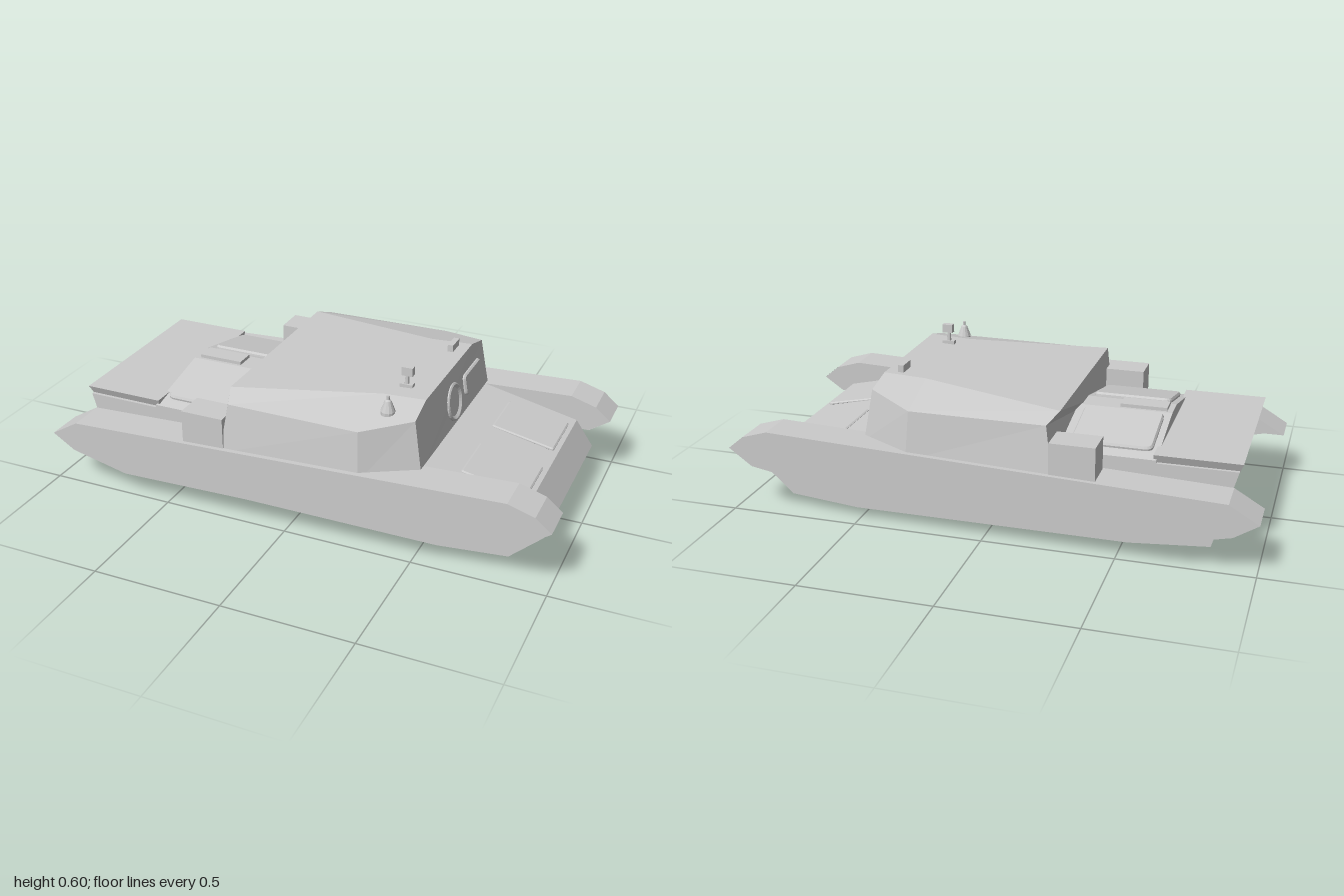
import * as THREE from 'three';

const mat = new THREE.MeshStandardMaterial({ color: 0xcccccc, flatShading: true, side: THREE.DoubleSide });

function add(parent, name, geo, x = 0, y = 0, z = 0) {
  const m = new THREE.Mesh(geo, mat);
  m.name = name;
  m.position.set(x, y, z);
  parent.add(m);
  return m;
}

const shapeOf = pts => new THREE.Shape(pts.map(p => new THREE.Vector2(...p)));

// Skin over mirrored half sections [x, y, z], listed from the low edge to the middle
function loft(halves) {
  const rings = halves.map(h => [...h, ...h.map(([x, y, z]) => [x, y, -z]).reverse()]);
  const pos = [], n = rings[0].length;
  const tri = (a, b, c) => pos.push(...a, ...b, ...c);
  for (let i = 0; i < rings.length - 1; i++) {
    for (let j = 0; j < n - 1; j++) {
      const a = rings[i][j], b = rings[i + 1][j], c = rings[i + 1][j + 1], d = rings[i][j + 1];
      tri(a, b, c);
      tri(a, c, d);
    }
  }
  const back = rings[0], front = rings[rings.length - 1];
  for (let k = 1; k < n - 1; k++) {
    tri(back[0], back[k], back[k + 1]);
    tri(front[0], front[k + 1], front[k]);
  }
  const g = new THREE.BufferGeometry();
  g.setAttribute('position', new THREE.Float32BufferAttribute(pos, 3));
  g.computeVertexNormals();
  return g;
}

// Rounded plate in the XY plane with a bevelled rim
function plate(w, h, t, r = 0.025) {
  const s = new THREE.Shape(), a = w / 2, b = h / 2;
  s.moveTo(-a + r, -b).lineTo(a - r, -b).quadraticCurveTo(a, -b, a, -b + r);
  s.lineTo(a, b - r).quadraticCurveTo(a, b, a - r, b);
  s.lineTo(-a + r, b).quadraticCurveTo(-a, b, -a, b - r);
  s.lineTo(-a, -b + r).quadraticCurveTo(-a, -b, -a + r, -b);
  return new THREE.ExtrudeGeometry(s, {
    depth: t / 2, bevelEnabled: true, bevelThickness: t / 2, bevelSize: 0.006, bevelOffset: -0.006,
    bevelSegments: 1, curveSegments: 4
  });
}

// Open sheet that follows an XY path between two z positions
function strip(path, z0, z1) {
  const pos = [];
  for (let i = 0; i < path.length - 1; i++) {
    const [ax, ay] = path[i], [bx, by] = path[i + 1];
    pos.push(ax, ay, z0, ax, ay, z1, bx, by, z1, ax, ay, z0, bx, by, z1, bx, by, z0);
  }
  const g = new THREE.BufferGeometry();
  g.setAttribute('position', new THREE.Float32BufferAttribute(pos, 3));
  g.computeVertexNormals();
  return g;
}

export function createModel() {
  const model = new THREE.Group();
  model.name = 'armouredVehicle';

  // Lower hull with sloped nose and tail
  const hull = shapeOf([[-0.52, 0], [0.55, 0], [0.82, 0.025], [0.94, 0.135], [0.87, 0.235],
    [0.49, 0.32], [-0.905, 0.325], [-0.845, 0.11], [-0.82, 0.025]]);
  add(model, 'hull', new THREE.ExtrudeGeometry(hull, { depth: 0.72, bevelEnabled: false }), 0, 0, -0.36);

  // Track guards: top sheet, outer skirt and inner wall
  const top = [[-1, 0.2], [-0.89, 0.265], [0.84, 0.335], [0.94, 0.305], [1, 0.255], [0.92, 0.2]];
  const skirt = [...top.slice(0, 5), [0.91, 0.19], [0.52, 0.122], [-0.68, 0.09], [-0.91, 0.143]];
  for (const s of [1, -1]) {
    const guard = new THREE.Group();
    guard.name = s > 0 ? 'leftTrackGuard' : 'rightTrackGuard';
    add(guard, 'guardTop', s > 0 ? strip(top, 0.36, 0.507) : strip(top, -0.507, -0.36));
    add(guard, 'skirt', new THREE.ShapeGeometry(shapeOf(skirt)), 0, 0, s * 0.507);
    add(guard, 'innerWall', new THREE.ShapeGeometry(shapeOf(top)), 0, 0, s * 0.361);
    model.add(guard);
    add(model, 'sideBox', new THREE.BoxGeometry(0.17, 0.13, 0.12), -0.335, 0.345, s * 0.43);
  }

  // Rear deck slab with undercut sides
  add(model, 'rearDeck', loft([
    [[-0.905, 0.32, 0.345], [-0.918, 0.355, 0.36]],
    [[-0.6, 0.32, 0.345], [-0.6, 0.355, 0.36]]
  ]));

  // Gabled engine deck with two hatches and a centre box
  const gable = x => [[x, 0.31, 0.36], [x, 0.335, 0.36], [x, 0.345, 0.32], [x, 0.403, 0.05]];
  add(model, 'engineDeck', loft([gable(-0.612), gable(-0.25)]));
  for (const s of [1, -1]) {
    const g = plate(0.305, 0.25, 0.016, 0.03).rotateX(-Math.PI / 2);
    add(model, 'engineHatch', g, -0.435, 0.372, s * 0.19).rotation.x = s * 0.21;
  }
  add(model, 'centreBox', new THREE.BoxGeometry(0.18, 0.06, 0.075), -0.5, 0.386, 0);

  // Superstructure
  add(model, 'superstructure', loft([
    [[-0.265, 0.27, 0.49], [-0.235, 0.465, 0.465], [-0.265, 0.495, 0.385]],
    [[0.29, 0.28, 0.49], [0.28, 0.467, 0.472], [0.29, 0.522, 0.26]],
    [[0.492, 0.3, 0.39], [0.458, 0.5, 0.375], [0.455, 0.53, 0.26]]
  ]));

  // Front fittings, tilted with the front face
  const face = new THREE.Group();
  face.name = 'frontFittings';
  face.position.set(0.474, 0.405, 0);
  face.rotation.z = 0.17;
  const ring = [[0.073, -0.01], [0.073, 0.006], [0.066, 0.01], [0.055, 0.002], [0, 0.002]]
    .map(p => new THREE.Vector2(...p));
  add(face, 'gunPort', new THREE.LatheGeometry(ring, 32).rotateZ(-Math.PI / 2));
  add(face, 'visionPanel', plate(0.19, 0.085, 0.012, 0.02).rotateY(Math.PI / 2), 0, 0.01, -0.212);
  model.add(face);

  // Nose access plates
  for (const s of [1, -1]) {
    const g = plate(0.25, 0.23, 0.008, 0.01).rotateX(-Math.PI / 2);
    add(model, 'nosePlate', g, 0.73, 0.266, s * 0.185).rotation.z = -0.2;
  }

  // Roof fittings
  add(model, 'roofBlock', new THREE.BoxGeometry(0.022, 0.04, 0.073), 0.398, 0.535, -0.2);
  const cone = [[0.027, 0], [0.027, 0.015], [0.012, 0.055], [0.006, 0.06], [0.006, 0.075], [0, 0.075]]
    .map(p => new THREE.Vector2(...p));
  add(model, 'antennaBase', new THREE.LatheGeometry(cone, 12), 0.345, 0.492, 0.35);
  const sight = new THREE.Group();
  sight.name = 'sight';
  sight.position.set(0.35, 0.52, 0.175);
  add(sight, 'sightFoot', new THREE.BoxGeometry(0.05, 0.015, 0.026), 0, 0.01, 0);
  add(sight, 'sightPost', new THREE.CylinderGeometry(0.007, 0.01, 0.04, 8), 0, 0.032, 0);
  add(sight, 'sightHead', new THREE.BoxGeometry(0.042, 0.033, 0.025), 0.003, 0.068, 0);
  model.add(sight);

  return model;
}
